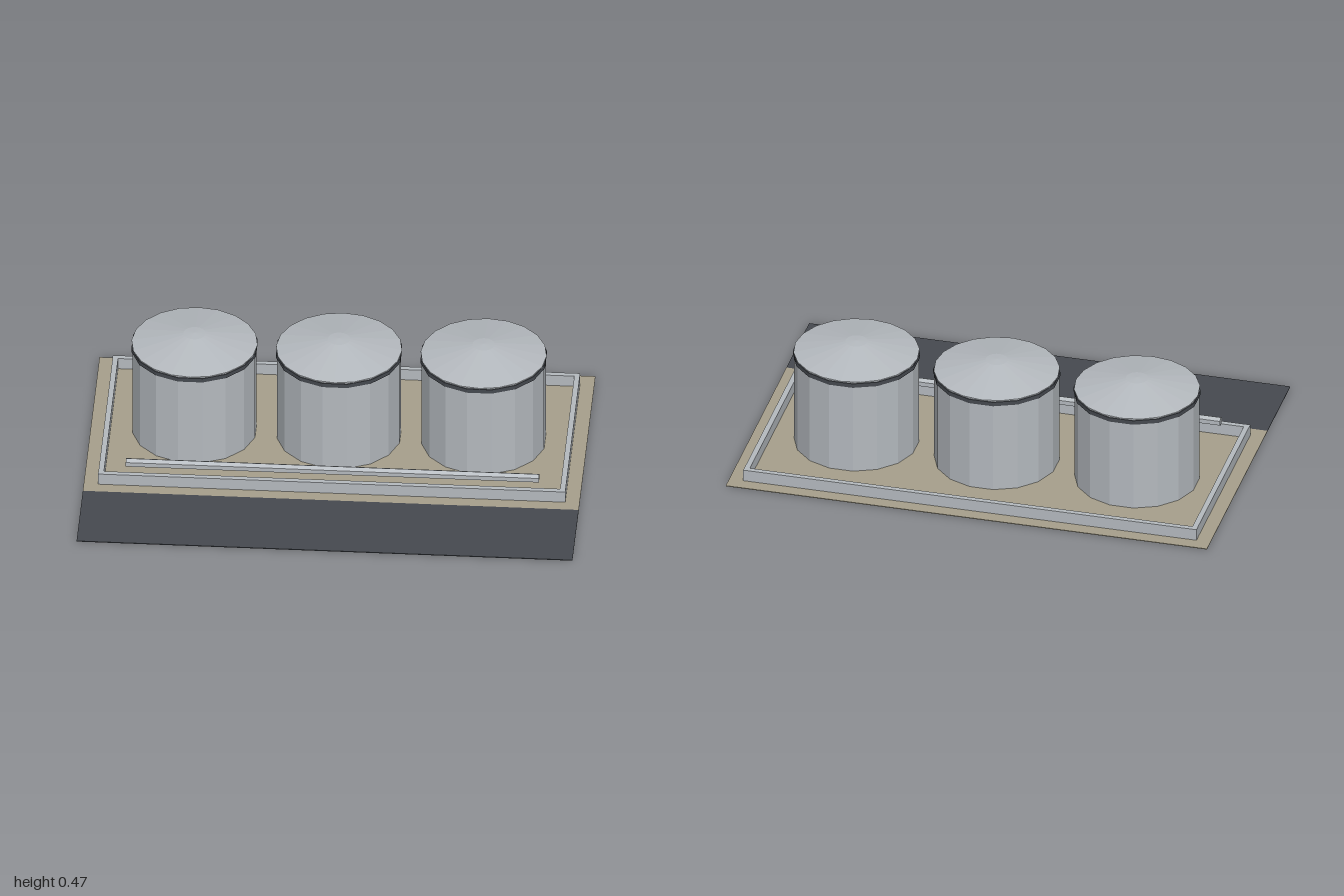
import * as THREE from 'three';

const mat = (name, color, flatShading = true) => {
  const m = new THREE.MeshStandardMaterial({ color, flatShading });
  m.name = name;
  return m;
};

export function createModel() {
  const steel = mat('steel grey', 0xb4b9be);
  const dark = mat('asphalt grey', 0x45494f);
  const sand = mat('sand', 0xa69f8b);

  const model = new THREE.Group();
  model.name = 'tankFarm';

  const add = (name, geometry, material, x = 0, y = 0, z = 0, parent = model) => {
    const mesh = new THREE.Mesh(geometry, material);
    mesh.name = name;
    mesh.position.set(x, y, z);
    parent.add(mesh);
    return mesh;
  };

  // Ground pad and the road strip in front of it
  add('groundPad', new THREE.BoxGeometry(2, 0.003, 0.97), sand, 0, 0.0015, -0.182);
  add('road', new THREE.BoxGeometry(2, 0.003, 0.364), dark, 0, 0.0015, 0.485);

  // Low containment wall around the tanks
  for (const z of [-0.6, 0.24])
    add('longWall', new THREE.BoxGeometry(1.885, 0.05, 0.022), steel, 0, 0.027, z);
  for (const x of [-0.931, 0.931])
    add('shortWall', new THREE.BoxGeometry(0.022, 0.05, 0.818), steel, x, 0.027, -0.18);

  // Three storage tanks: shell, dark rim band and shallow conical roof
  const sides = 16;
  const shell = new THREE.CylinderGeometry(0.252, 0.252, 0.413, sides).rotateY(Math.PI / sides);
  const band = new THREE.CylinderGeometry(0.256, 0.256, 0.018, sides).rotateY(Math.PI / sides);
  const roof = new THREE.LatheGeometry([
    new THREE.Vector2(0, 0.415),
    new THREE.Vector2(0.254, 0.415),
    new THREE.Vector2(0.254, 0.419),
    new THREE.Vector2(0.045, 0.463),
    new THREE.Vector2(0, 0.466),
  ], 20);
  for (const x of [-0.583, 0, 0.583]) {
    const tank = new THREE.Group();
    tank.name = 'tank';
    tank.position.set(x, 0, -0.18);
    add('tankShell', shell, steel, 0, 0.2085, 0, tank);
    add('tankBand', band, dark, 0, 0.403, 0, tank);
    add('tankRoof', roof, steel, 0, 0, 0, tank);
    model.add(tank);
  }

  // Hexagonal transfer pipe along the front
  const pipe = new THREE.CylinderGeometry(0.019, 0.019, 1.666, 6)
    .rotateY(Math.PI / 6).rotateZ(Math.PI / 2);
  add('pipe', pipe, steel, 0, 0.08, 0.2);

  return model;
}
